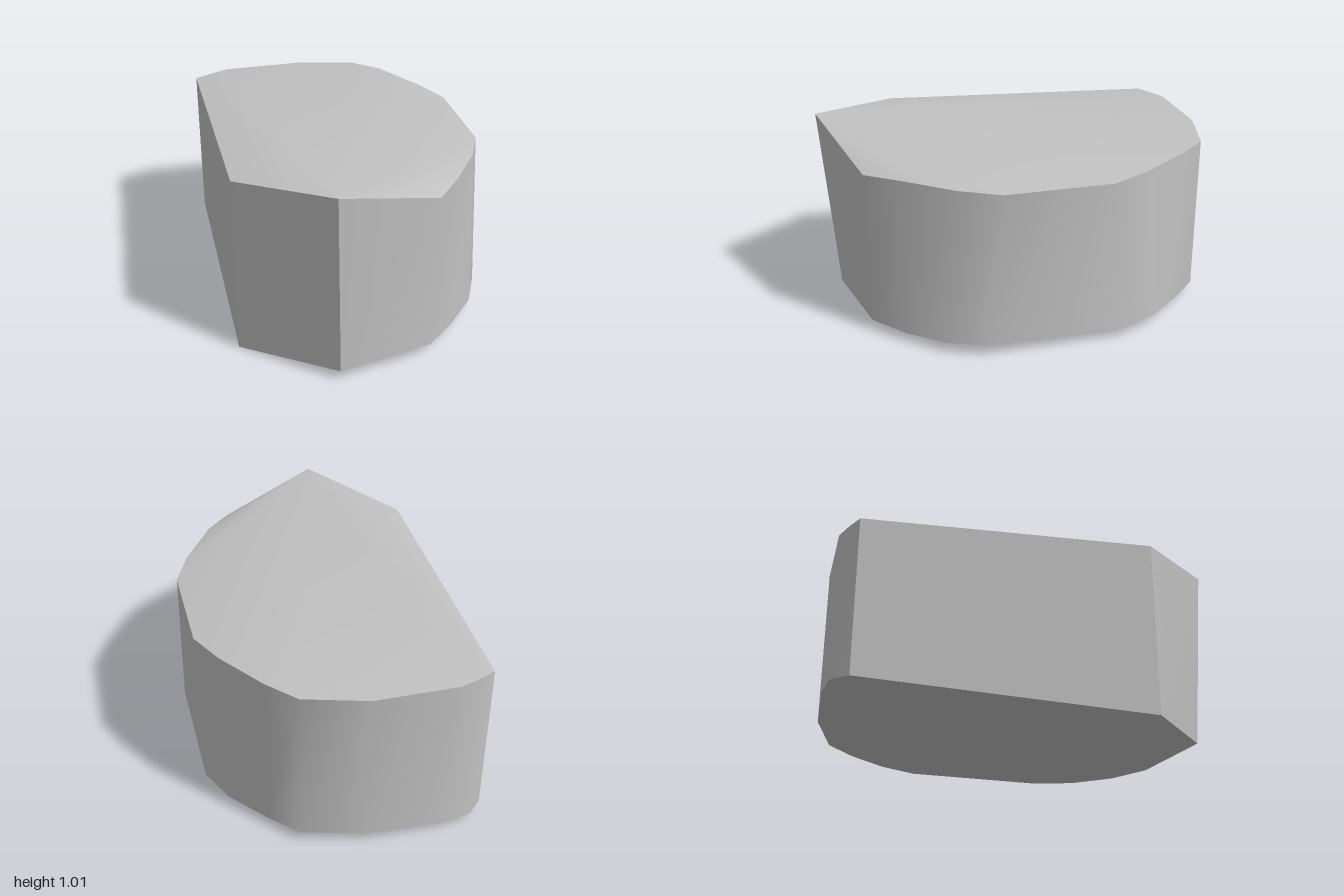
import * as THREE from 'three';
import { toCreasedNormals } from 'three/addons/utils/BufferGeometryUtils.js';

// Matching rims, counterclockwise from above, starting at the flat side's front corner
const topRim = [
  [-0.65, 0.92, 0.56], [-0.245, 1.01, 1.0], [0.27, 0.865, 0.83], [0.4, 0.875, 0.68],
  [0.56, 0.862, 0.43], [0.645, 0.855, 0.23], [0.645, 0.855, -0.31], [0.56, 0.862, -0.5],
  [0.4, 0.875, -0.76], [0.27, 0.87, -0.9], [-0.04, 0.865, -0.985], [-0.46, 0.862, -0.98],
  [-0.56, 0.858, -0.942], [-0.65, 0.855, -0.9],
];
const bottomRim = [
  [-0.65, 0, 0.56], [-0.22, 0.05, 0.93], [0.25, 0.055, 0.825], [0.4, 0.045, 0.68],
  [0.56, 0.055, 0.5], [0.645, 0.063, 0.31], [0.645, 0.063, -0.4], [0.56, 0.058, -0.58],
  [0.4, 0.045, -0.76], [0.27, 0.05, -0.9], [-0.04, 0.05, -0.985], [-0.42, 0.05, -1.0],
  [-0.57, 0.048, -0.98], [-0.65, 0.043, -0.9],
];

export function createModel() {
  const stone = new THREE.MeshStandardMaterial({ color: 0xc0c0c0 });
  stone.name = 'light grey';
  const n = topRim.length;
  const index = [];

  // Wall between the rims
  for (let i = 0; i < n; i++) {
    const j = (i + 1) % n;
    index.push(n + i, n + j, j, n + i, j, i);
  }
  // Top fans out from the raised tip, the underside from its lowest corner
  for (let k = 1; k < n - 1; k++) {
    index.push(1, (1 + k) % n, (2 + k) % n);
    index.push(n, n + k + 1, n + k);
  }

  const geometry = new THREE.BufferGeometry();
  geometry.setAttribute('position', new THREE.Float32BufferAttribute([...topRim, ...bottomRim].flat(), 3));
  geometry.setIndex(index);

  const block = new THREE.Mesh(toCreasedNormals(geometry, THREE.MathUtils.degToRad(40)), stone);
  block.name = 'halfRoundBlock';
  const model = new THREE.Group();
  model.name = 'block';
  model.add(block);
  return model;
}
